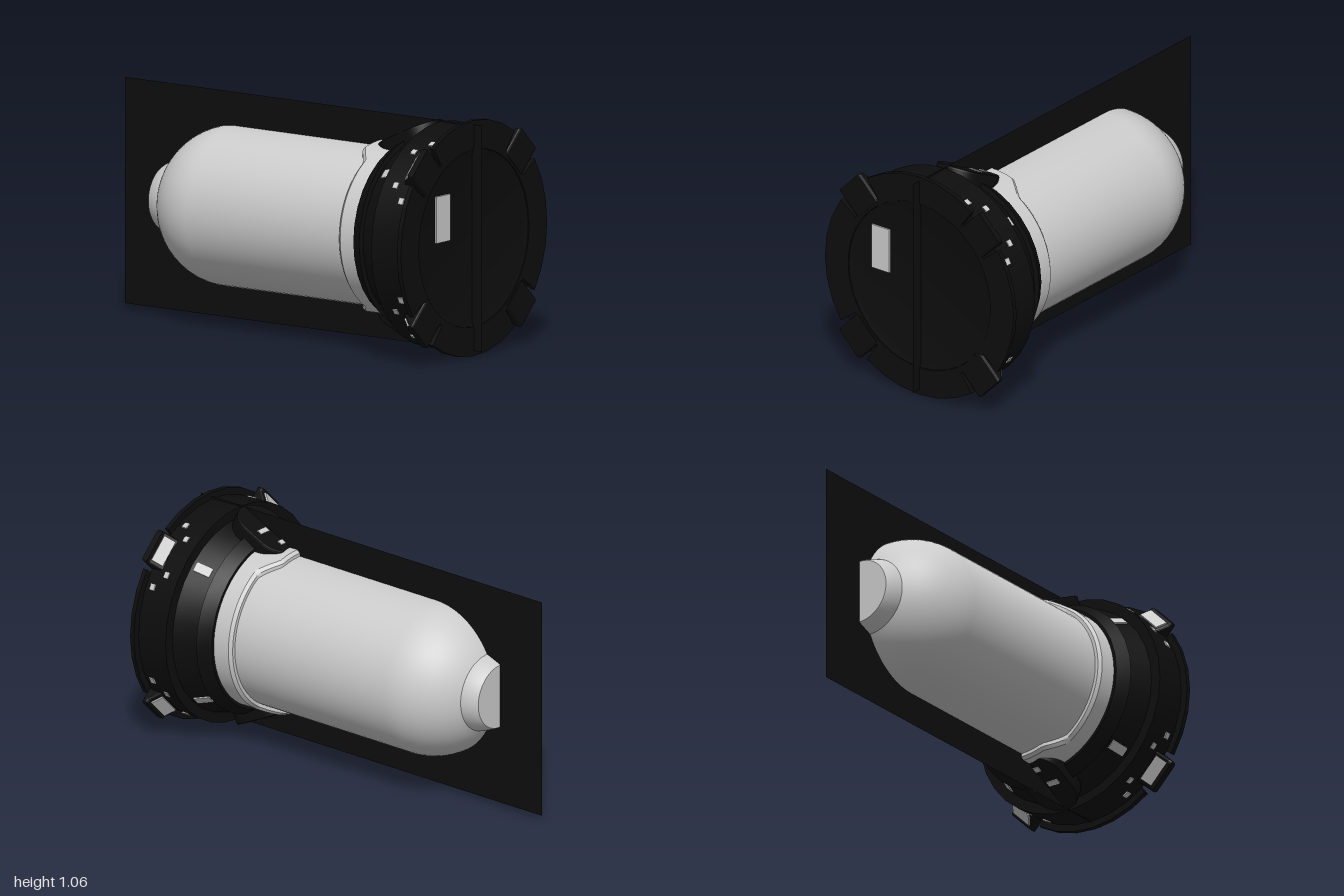
import * as THREE from 'three';
import { toCreasedNormals } from 'three/addons/utils/BufferGeometryUtils.js';

const black = new THREE.MeshStandardMaterial({ color: 0x0d0d0d, side: THREE.DoubleSide });
black.name = 'black';
const lightGrey = new THREE.MeshStandardMaterial({ color: 0xcccccc });
lightGrey.name = 'light grey';

const V = (r, z) => new THREE.Vector2(r, z);

// Solid of revolution around the z axis; points are [radius, z] with z rising
function revolve(points, segments) {
  return new THREE.LatheGeometry(points.map(p => V(...p)), segments).rotateX(Math.PI / 2);
}

function part(name, geometry, material, parent) {
  const mesh = new THREE.Mesh(geometry, material);
  mesh.name = name;
  parent.add(mesh);
  return mesh;
}

// Group turned around the barrel axis so that its local +y points outwards
function around(name, angle, parent) {
  const g = new THREE.Group();
  g.name = name;
  g.rotation.z = angle;
  parent.add(g);
  return g;
}

// Thin plate lying on the barrel; slope is radius gained per unit of z
function plate(name, parent, x, r, z, width, length, slope = 0) {
  const m = part(name, new THREE.BoxGeometry(width, 0.009, length), lightGrey, parent);
  m.position.set(x, r, z);
  m.rotation.x = -Math.atan(slope);
  return m;
}

export function createModel() {
  const model = new THREE.Group();
  model.name = 'model';
  const body = new THREE.Group();
  body.name = 'body';
  body.position.y = 0.536;
  model.add(body);

  // Rounded barrel with a stub at the back
  const barrel = [[0, -0.755], [0.148, -0.755], [0.155, -0.745], [0.18, -0.68]];
  for (let i = 0; i <= 14; i++) {
    const a = (Math.PI / 3) * (1 - i / 14);
    barrel.push([0.36 * Math.cos(a), -0.38 - 0.345 * Math.sin(a)]);
  }
  barrel.push([0.36, 0.6]);
  part('barrel', toCreasedNormals(revolve(barrel, 64), 0.5), lightGrey, body);

  // Collar whose back edge reaches further at top and bottom
  const collar = revolve([[0.355, 0.49], [0.375, 0.49], [0.387, 0.505], [0.387, 0.6]], 128);
  const p = collar.attributes.position;
  for (let i = 0; i < p.count; i++) {
    if (p.getZ(i) > 0.55) continue;
    const reach = THREE.MathUtils.clamp((0.2 - Math.abs(p.getX(i))) / 0.085, 0, 1);
    p.setZ(i, p.getZ(i) - 0.07 * reach);
  }
  part('collar', toCreasedNormals(collar, 0.5), lightGrey, body);

  // Stepped housing with bezel and front glass
  const housing = revolve([
    [0.355, 0.59], [0.402, 0.59], [0.438, 0.65], [0.415, 0.655], [0.46, 0.77], [0.507, 0.77],
    [0.5, 0.935], [0.4, 0.935], [0.4, 0.952], [0.373, 0.944], [0, 0.944],
  ], 32);
  part('housing', toCreasedNormals(housing, 0.5), black, body);

  // Front rim with four notches
  const rim = [];
  for (let i = 0; i < 32; i++) {
    const a = (i / 32) * Math.PI * 2;
    if (i % 8 === 4) {
      for (const s of [-1, 1]) {
        const b = a + s * 0.21;
        rim.push(V(0.43 * Math.cos(b), 0.43 * Math.sin(b)));
      }
    } else rim.push(V(0.532 * Math.cos(a), 0.532 * Math.sin(a)));
  }
  const rimShape = new THREE.Shape(rim);
  rimShape.holes.push(new THREE.Path().absarc(0, 0, 0.4, 0, Math.PI * 2, true));
  const rimGeo = new THREE.ExtrudeGeometry(rimShape, { depth: 0.022, bevelEnabled: false, curveSegments: 32 });
  part('frontRim', rimGeo.translate(0, 0, 0.934), black, body);

  // Light patch on the glass
  const patch = part('glassPatch', new THREE.BoxGeometry(0.1, 0.21, 0.009), lightGrey, body);
  patch.position.set(-0.22, 0.119, 0.951);

  // Lugs with lamps, and small windows, at the four diagonals
  const lugShape = new THREE.Shape([
    V(0.878, 0.42), V(0.878, 0.485), V(0.932, 0.538), V(0.936, 0.55), V(0.95, 0.55), V(0.95, 0.42),
  ]);
  const lugGeo = new THREE.ExtrudeGeometry(lugShape, {
    depth: 0.133, bevelThickness: 0.014, bevelSize: 0.009, bevelSegments: 3,
  }).translate(0, 0, -0.0665).rotateY(-Math.PI / 2);
  for (let k = 0; k < 4; k++) {
    const a = Math.PI / 4 + (k * Math.PI) / 2;
    const g = around('lugGroup', a, body);
    part('lug', lugGeo, black, g);
    plate('lugLamp', g, 0, 0.524, 0.9, 0.125, 0.058, 0.98);
    plate('shoulderWindow', g, 0, 0.439, 0.717, 0.045, 0.08, 0.39);
    for (const s of [-1, 1]) {
      plate('frontWindow', around('frontWindowGroup', a + s * 0.323, body), 0, 0.501, 0.895, 0.03, 0.027, -0.04);
      plate('rearWindow', around('rearWindowGroup', a + s * 0.185, body), 0, 0.503, 0.84, 0.03, 0.025, -0.04);
    }
  }

  // Sloping round-ended badges at top and bottom
  const badgeShape = new THREE.Shape();
  badgeShape.absarc(0, 0.055, 0.103, 0, Math.PI, false);
  badgeShape.absarc(0, -0.055, 0.103, Math.PI, Math.PI * 2, false);
  const badgeGeo = new THREE.ExtrudeGeometry(badgeShape, {
    depth: 0.06, bevelThickness: 0.008, bevelSize: 0.008, bevelSegments: 2, curveSegments: 20,
  }).rotateX(Math.PI / 2).translate(0, -0.008, 0);
  const slope = 0.467;
  for (const a of [0, Math.PI]) {
    const g = around('badgeGroup', a, body);
    const badge = part('badge', badgeGeo, black, g);
    badge.position.set(0, 0.445, 0.6);
    badge.rotation.x = -Math.atan(slope);
    for (const [x, z] of [[0, 0.515], [-0.045, 0.6], [0.04, 0.6]]) {
      plate('badgeMark', g, x, 0.445 + (z - 0.6) * slope, z, 0.058, 0.026, slope);
    }
  }

  // Thin upright panel along the middle
  const panel = part('middlePanel', new THREE.PlaneGeometry(2, 1.02).rotateY(Math.PI / 2), black, model);
  panel.position.y = 0.538;

  return model;
}
